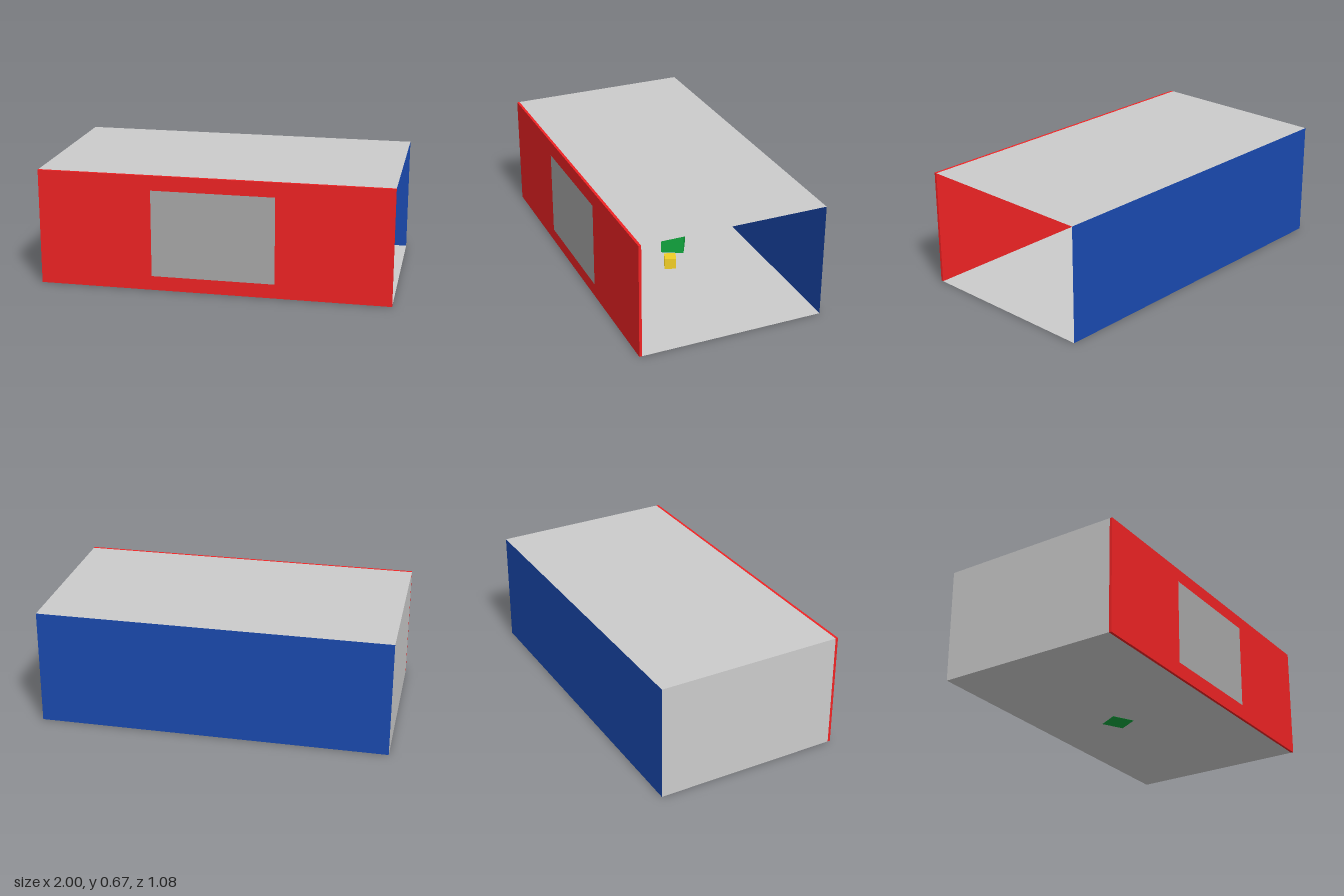
import * as THREE from 'three';

const W = 2, H = 0.667, BACK = -0.542, FRONT = 0.523;
const GREY = 0xcccccc, RED = 0xf02324, BLUE = 0x1a4ab0, GREEN = 0x11a63e, YELLOW = 0xf2ce26;

export function createModel() {
  const model = new THREE.Group();

  const add = (name, geometry, color, x, y, z, thin = false) => {
    const material = new THREE.MeshStandardMaterial({ color });
    if (thin) material.side = THREE.DoubleSide;
    const mesh = new THREE.Mesh(geometry, material);
    mesh.name = name;
    mesh.position.set(x, y, z);
    model.add(mesh);
    return mesh;
  };

  // Room shell: paper-thin floor, ceiling, back and one side; the +x side is open
  const depth = FRONT - BACK, midZ = (FRONT + BACK) / 2;
  const slab = new THREE.PlaneGeometry(W, depth);
  add('floor', slab, GREY, 0, 0, midZ, true).rotation.x = -Math.PI / 2;
  add('ceiling', slab, GREY, 0, H, midZ, true).rotation.x = -Math.PI / 2;
  add('sideWall', new THREE.PlaneGeometry(depth, H), GREY, -W / 2, H / 2, midZ, true).rotation.y = Math.PI / 2;
  add('backWall', new THREE.PlaneGeometry(W, H), BLUE, 0, H / 2, BACK, true);

  // Solid front wall with a flat panel just ahead of it
  add('frontWall', new THREE.BoxGeometry(W, H, 0.015), RED, 0, H / 2, FRONT + 0.0075);
  add('frontPanel', new THREE.PlaneGeometry(0.7, 0.5), 0xa9a9a9, 0, H / 2, 0.542, true);

  // Turned blocks standing on the floor: name, colour, width, height, x, z, base, turn
  const blocks = [
    ['tallBlock', GREEN, 0.135, 0.282, 0, -0.096, -0.001, -27.7],
    ['mediumBlock', BLUE, 0.146, 0.134, -0.22, 0.113, 0.001, 27],
    ['smallBlock', YELLOW, 0.068, 0.067, 0.2, 0.012, 0.001, -20],
  ];
  for (const [name, color, w, h, x, z, base, turn] of blocks) {
    const block = add(name, new THREE.BoxGeometry(w, h, w), color, x, base + h / 2, z);
    block.rotation.y = THREE.MathUtils.degToRad(turn);
  }

  return model;
}
